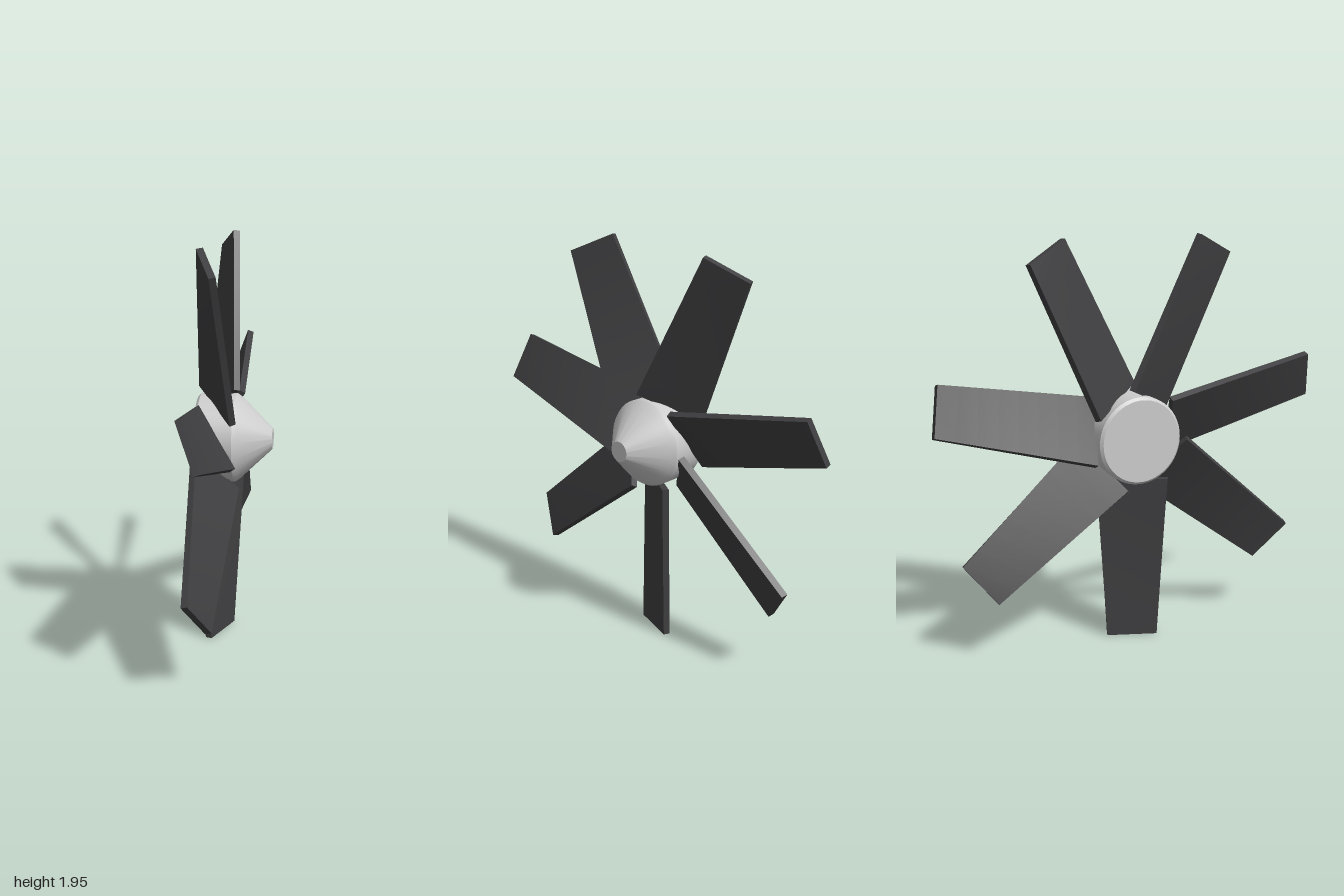
import * as THREE from 'three';
import { toCreasedNormals } from 'three/addons/utils/BufferGeometryUtils.js';

const BLADES = 7;
const ROOT = 0.2, TIP = 1.0;      // blade start and end radius
const BLADE_X = -0.077;           // blade plane along the shaft

// Tapered, twisted blade pointing down from the shaft
function bladeGeometry() {
  const geo = new THREE.BoxGeometry(1, 1, 1, 1, 8, 1);
  const p = geo.attributes.position;
  for (let i = 0; i < p.count; i++) {
    const s = 0.5 - p.getY(i);    // 0 at the root, 1 at the tip
    const chordX = THREE.MathUtils.lerp(0.18, 0.085, s);
    const chordZ = THREE.MathUtils.lerp(0.292, 0.228, s);
    const a = Math.atan2(chordX, chordZ);
    const t = p.getX(i) * 0.032, c = p.getZ(i);
    p.setXYZ(i,
      BLADE_X - c * chordX + t * Math.cos(a),
      -THREE.MathUtils.lerp(ROOT, TIP, s),
      c * chordZ + t * Math.sin(a));
  }
  geo.computeVertexNormals();
  return geo;
}

// Drum with a bevelled rear rim and a blunt cone in front, turned about x
function hubGeometry() {
  const profile = [
    [0, -0.178], [0.198, -0.178], [0.211, -0.165], [0.213, 0.005],
    [0.2, 0.025], [0.05, 0.18], [0, 0.18],
  ].map(([r, x]) => new THREE.Vector2(r, x));
  const geo = new THREE.LatheGeometry(profile, 48);
  geo.rotateZ(-Math.PI / 2);
  return toCreasedNormals(geo, 0.5);
}

export function createModel() {
  const group = new THREE.Group();
  group.name = 'propeller';
  const grey = new THREE.MeshStandardMaterial({ color: 0xcccccc });
  const dark = new THREE.MeshStandardMaterial({ color: 0x404042 });

  const hub = new THREE.Mesh(hubGeometry(), grey);
  hub.name = 'hub';
  hub.position.y = 1;
  group.add(hub);

  const geo = bladeGeometry();
  for (let i = 0; i < BLADES; i++) {
    const blade = new THREE.Mesh(geo, dark);
    blade.name = `blade${i + 1}`;
    blade.position.y = 1;
    blade.rotation.x = (i * 2 * Math.PI) / BLADES;
    group.add(blade);
  }
  return group;
}
